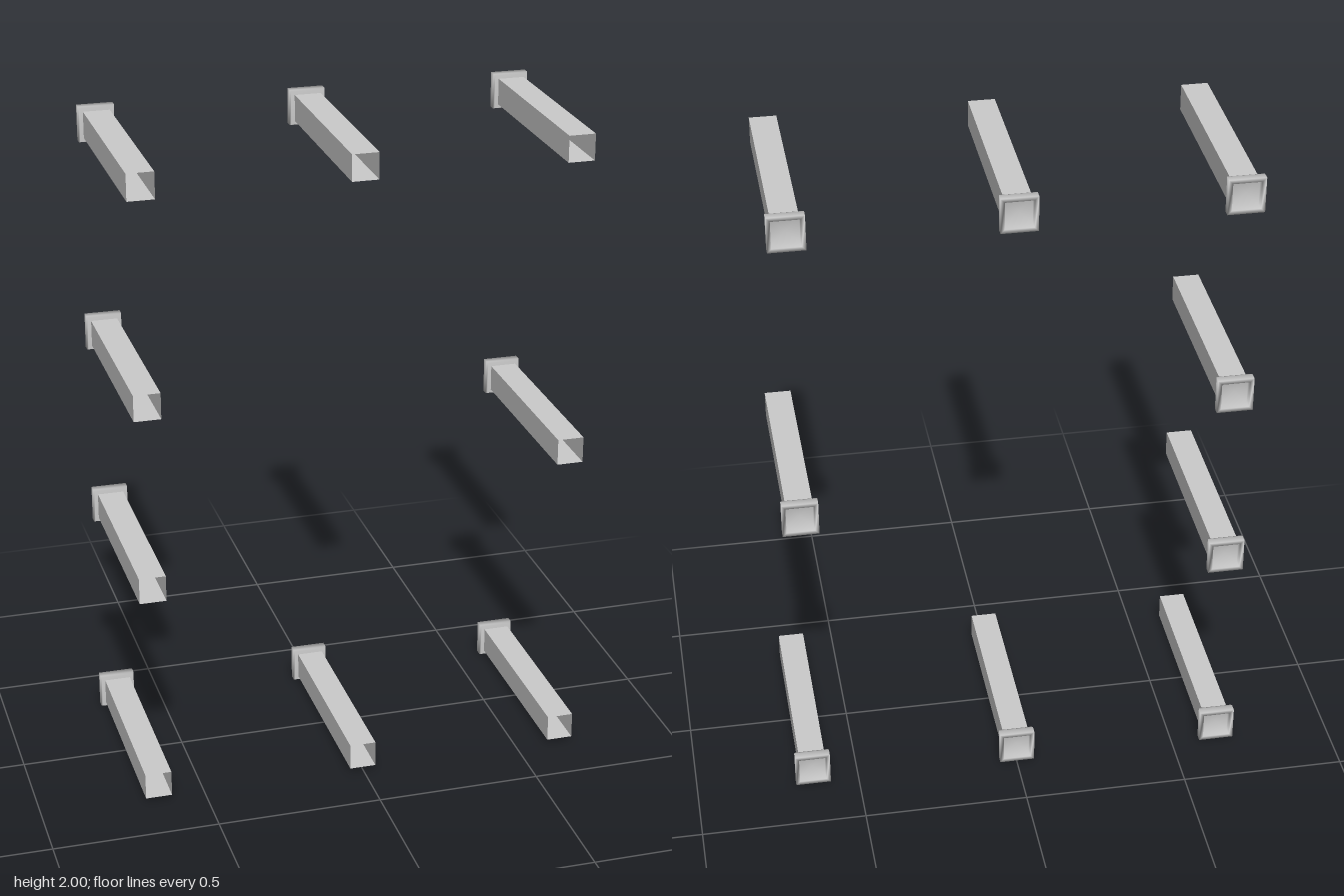
import * as THREE from 'three';

const ROOT2 = Math.SQRT2;

// Turn a four-sided round geometry into a square one lying along z.
function squareAlongZ(geometry) {
  return geometry.rotateY(Math.PI / 4).rotateX(Math.PI / 2);
}

export function createModel() {
  const model = new THREE.Group();
  model.name = 'squareTubes';

  const tubeMaterial = new THREE.MeshStandardMaterial({
    color: 0xcccccc, flatShading: true, side: THREE.DoubleSide,
  });
  const capMaterial = new THREE.MeshStandardMaterial({ color: 0xcccccc });

  // Thin square sleeve, open at both ends
  const tubeGeometry = squareAlongZ(
    new THREE.CylinderGeometry(0.04 * ROOT2, 0.04 * ROOT2, 0.613, 4, 1, true));
  tubeGeometry.translate(0, 0, 0.0155);

  // Flange with a bevelled front edge and a square recess at the back
  const profile = [
    [0, -0.3], [0.04, -0.3], [0.042, -0.322], [0.054, -0.322],
    [0.054, -0.298], [0.051, -0.291], [0, -0.291],
  ].map(([halfWidth, z]) => new THREE.Vector2(halfWidth * ROOT2, z));
  const capGeometry = squareAlongZ(new THREE.LatheGeometry(profile, 4));

  // Centres of the tubes, column by column
  const columns = [
    { x: -0.643, heights: [0.058, 0.715, 1.292, 1.946] },
    { x: -0.002, heights: [0.058, 1.946] },
    { x: 0.641, heights: [0.058, 1.003, 1.946] },
  ];
  for (const { x, heights } of columns) {
    for (const y of heights) {
      const post = new THREE.Group();
      post.name = 'flangedTube';
      const tube = new THREE.Mesh(tubeGeometry, tubeMaterial);
      tube.name = 'tube';
      const cap = new THREE.Mesh(capGeometry, capMaterial);
      cap.name = 'flange';
      post.add(tube, cap);
      post.position.set(x, y, 0);
      model.add(post);
    }
  }
  return model;
}
